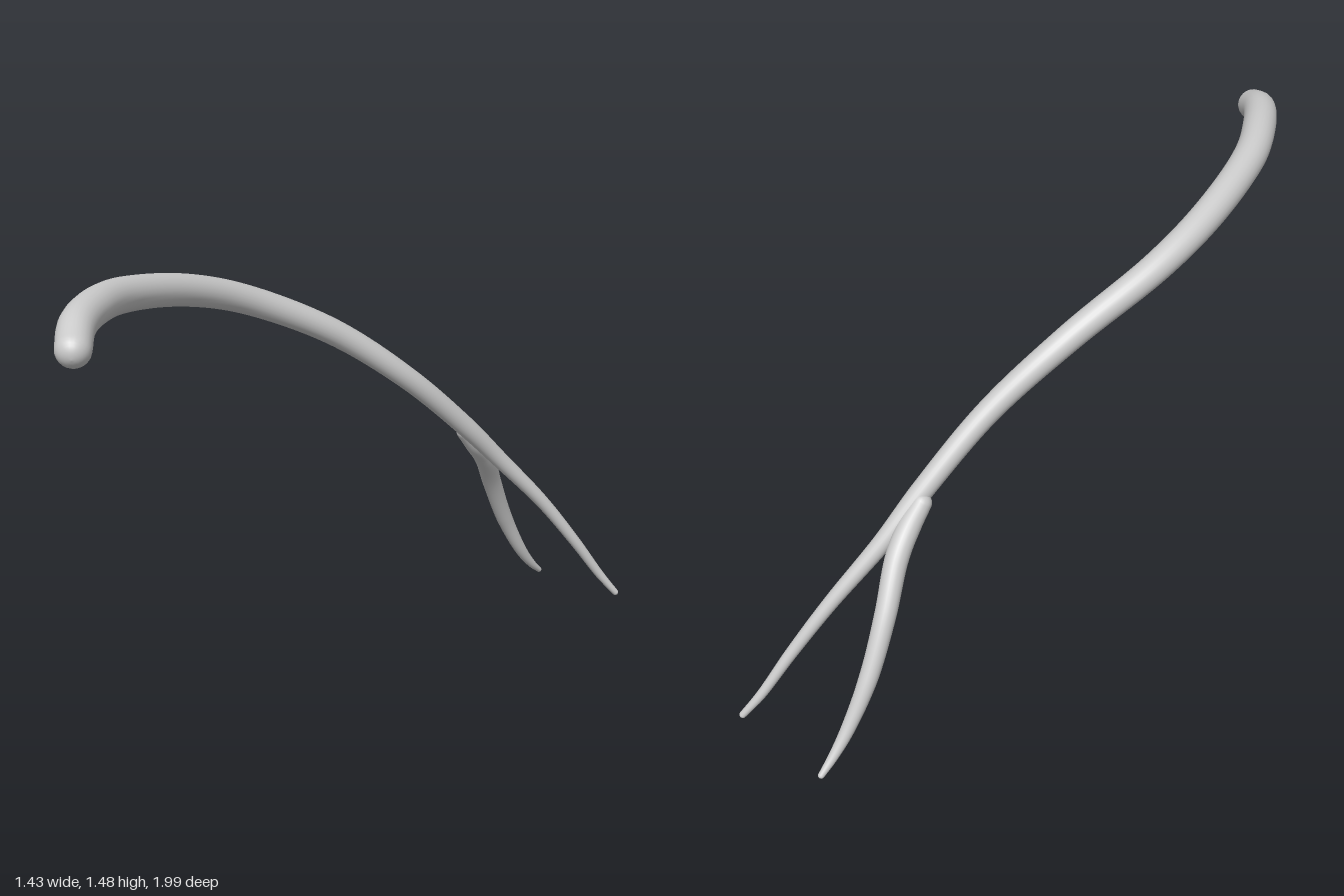
import * as THREE from 'three';

const material = new THREE.MeshStandardMaterial({ color: 0xcccccc });
const SIDES = 24;

// Smooth tapering limb with rounded ends; each point is [x, y, z, radius].
function limb(name, points, steps) {
  const curve = new THREE.CatmullRomCurve3(points.map(([x, y, z]) => new THREE.Vector3(x, y, z)));
  const frames = curve.computeFrenetFrames(steps, false);
  const radiusAt = (t) => {
    const s = t * (points.length - 1);
    const i = Math.min(Math.floor(s), points.length - 2);
    return THREE.MathUtils.lerp(points[i][3], points[i + 1][3], s - i);
  };

  // Rings along the curve, with dome rings added at both ends
  const rings = [];
  const addRing = (i, angle, sign) => {
    const t = curve.getUtoTmapping(i / steps);
    const r = radiusAt(t);
    const center = curve.getPoint(t).addScaledVector(frames.tangents[i], sign * r * Math.sin(angle));
    rings.push({ center, r: r * Math.cos(angle), n: frames.normals[i], b: frames.binormals[i] });
  };
  const DOME = 8;
  for (let k = DOME; k > 0; k--) addRing(0, (k / DOME) * Math.PI / 2, -1);
  for (let i = 0; i <= steps; i++) addRing(i, 0, 0);
  for (let k = 1; k <= DOME; k++) addRing(steps, (k / DOME) * Math.PI / 2, 1);

  const positions = [], indices = [];
  rings.forEach(({ center, r, n, b }, i) => {
    for (let j = 0; j < SIDES; j++) {
      const a = (j / SIDES) * Math.PI * 2;
      const p = center.clone().addScaledVector(n, r * Math.cos(a)).addScaledVector(b, r * Math.sin(a));
      positions.push(p.x, p.y, p.z);
      if (i === 0) continue;
      const k = (j + 1) % SIDES, lo = (i - 1) * SIDES, hi = i * SIDES;
      indices.push(lo + j, lo + k, hi + j, lo + k, hi + k, hi + j);
    }
  });
  const geometry = new THREE.BufferGeometry();
  geometry.setAttribute('position', new THREE.Float32BufferAttribute(positions, 3));
  geometry.setIndex(indices);
  geometry.computeVertexNormals();
  const mesh = new THREE.Mesh(geometry, material);
  mesh.name = name;
  return mesh;
}

export function createModel() {
  const group = new THREE.Group();
  group.name = 'forkedBranch';

  // Main stem, running from the thick rounded end into the longer prong
  group.add(limb('stemAndLongProng', [
    [-0.63, 1.393, 0.948, 0.05],
    [-0.655, 1.425, 0.85, 0.052],
    [-0.665, 1.435, 0.7, 0.053],
    [-0.65, 1.42, 0.5, 0.052],
    [-0.55, 1.36, 0.2, 0.049],
    [-0.425, 1.283, 0, 0.046],
    [-0.2, 1.135, -0.2, 0.042],
    [0.015, 0.945, -0.35, 0.037],
    [0.19, 0.735, -0.5, 0.034],
    [0.29, 0.6, -0.585, 0.029],
    [0.437, 0.415, -0.675, 0.023],
    [0.555, 0.245, -0.735, 0.019],
    [0.645, 0.105, -0.78, 0.015],
    [0.702, 0.032, -0.8, 0.011],
  ], 120));

  // Shorter side prong, its root swelling out of the stem
  group.add(limb('sideProng', [
    [0.182, 0.715, -0.522, 0.031],
    [0.212, 0.655, -0.565, 0.036],
    [0.235, 0.585, -0.63, 0.036],
    [0.25, 0.45, -0.735, 0.033],
    [0.285, 0.28, -0.83, 0.029],
    [0.34, 0.125, -0.905, 0.021],
    [0.375, 0.055, -0.95, 0.015],
    [0.401, 0.015, -0.986, 0.01],
  ], 60));

  return group;
}
